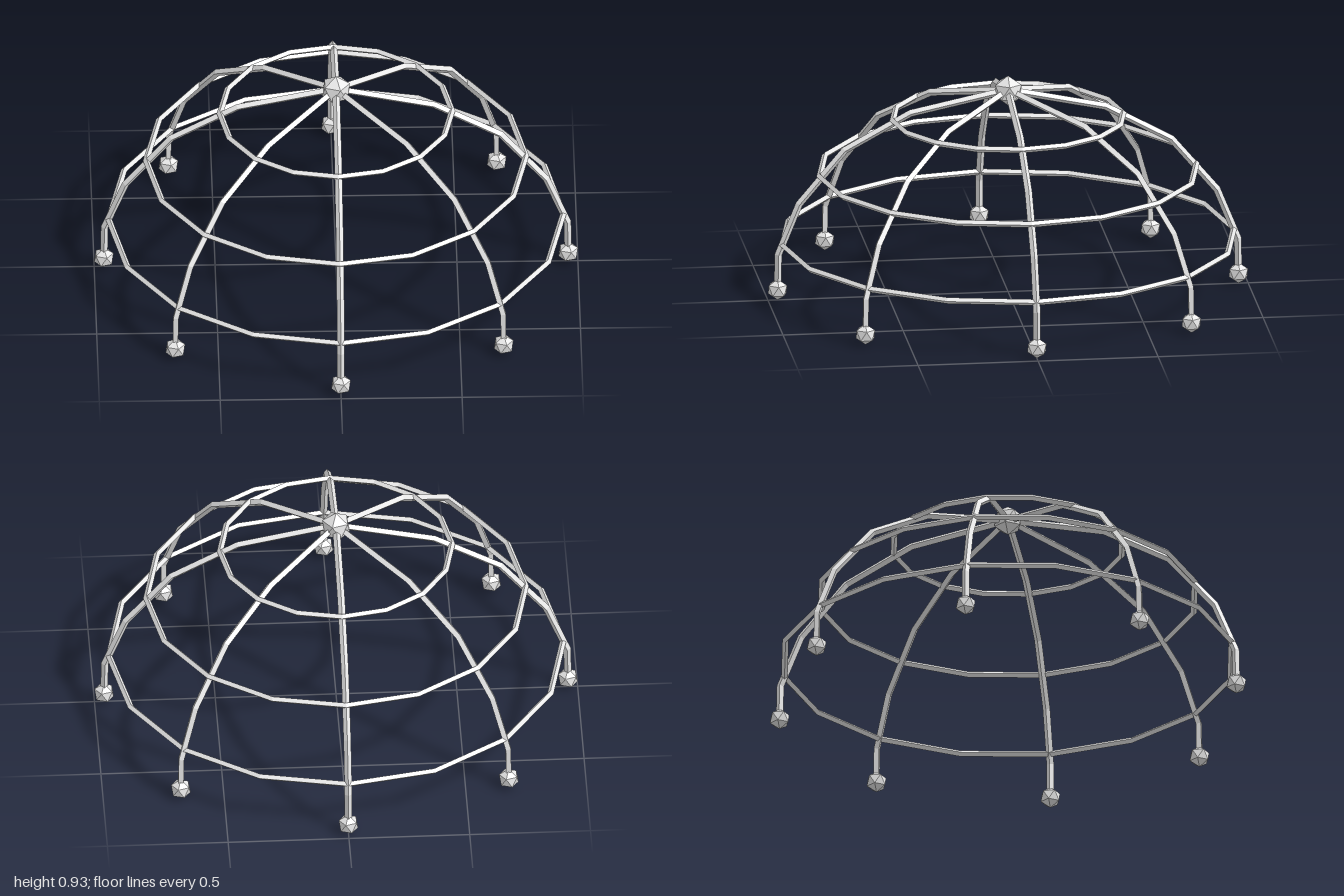
import * as THREE from 'three';

// Straight-sided path whose samples fall exactly on the given corners
class PolyPath extends THREE.Curve {
  constructor(points) {
    super();
    this.points = points;
  }
  getPoint(t, target = new THREE.Vector3()) {
    const n = this.points.length - 1;
    const s = THREE.MathUtils.clamp(t, 0, 1) * n;
    const i = Math.min(Math.floor(s + 1e-9), n - 1);
    return target.lerpVectors(this.points[i], this.points[i + 1], s - i);
  }
  getUtoTmapping(u) {
    return u;
  }
}

// Icosahedron standing on a corner
function knob(radius) {
  return new THREE.IcosahedronGeometry(radius, 0).rotateZ(-Math.atan(2 / (1 + Math.sqrt(5))));
}

export function createModel() {
  const model = new THREE.Group();
  model.name = 'climbingDome';
  const steel = new THREE.MeshStandardMaterial({ color: 0xe7e7e7, flatShading: true });
  steel.name = 'paleSteel';

  const add = (name, geometry, parent = model) => {
    const mesh = new THREE.Mesh(geometry, steel);
    mesh.name = name;
    parent.add(mesh);
    return mesh;
  };

  // Rib profile from foot to crown: radius, height
  const profile = [[0.96, 0.045], [0.957, 0.195], [0.87, 0.41], [0.68, 0.635], [0.406, 0.785], [0.01, 0.868]];
  const path = new PolyPath(profile.map(([r, y]) => new THREE.Vector3(r, y, 0)));
  // Four-sided bars with a corner facing outward
  const ribGeometry = new THREE.TubeGeometry(path, profile.length - 1, 0.0155, 4, false);
  const footGeometry = knob(0.045);

  // Eight ribs, each with a foot
  for (let i = 0; i < 8; i++) {
    const arm = new THREE.Group();
    arm.name = 'ribGroup' + (i + 1);
    arm.rotation.y = (i * Math.PI) / 4;
    add('rib', ribGeometry, arm);
    model.add(arm);

    // Feet all keep the same heading
    const foot = add('foot' + (i + 1), footGeometry);
    foot.position.set(0.96 * Math.cos(arm.rotation.y), 0.045, -0.96 * Math.sin(arm.rotation.y));
  }

  // Three horizontal rings
  [['lowerRing', 0.94, 0.235], ['middleRing', 0.785, 0.525], ['upperRing', 0.48, 0.755]].forEach(([name, r, y]) => {
    const ring = add(name, new THREE.TorusGeometry(r, 0.0135, 4, 16).rotateX(Math.PI / 2));
    ring.position.y = y;
  });

  // Crown knob
  add('crownHub', knob(0.064)).position.y = 0.868;

  return model;
}
